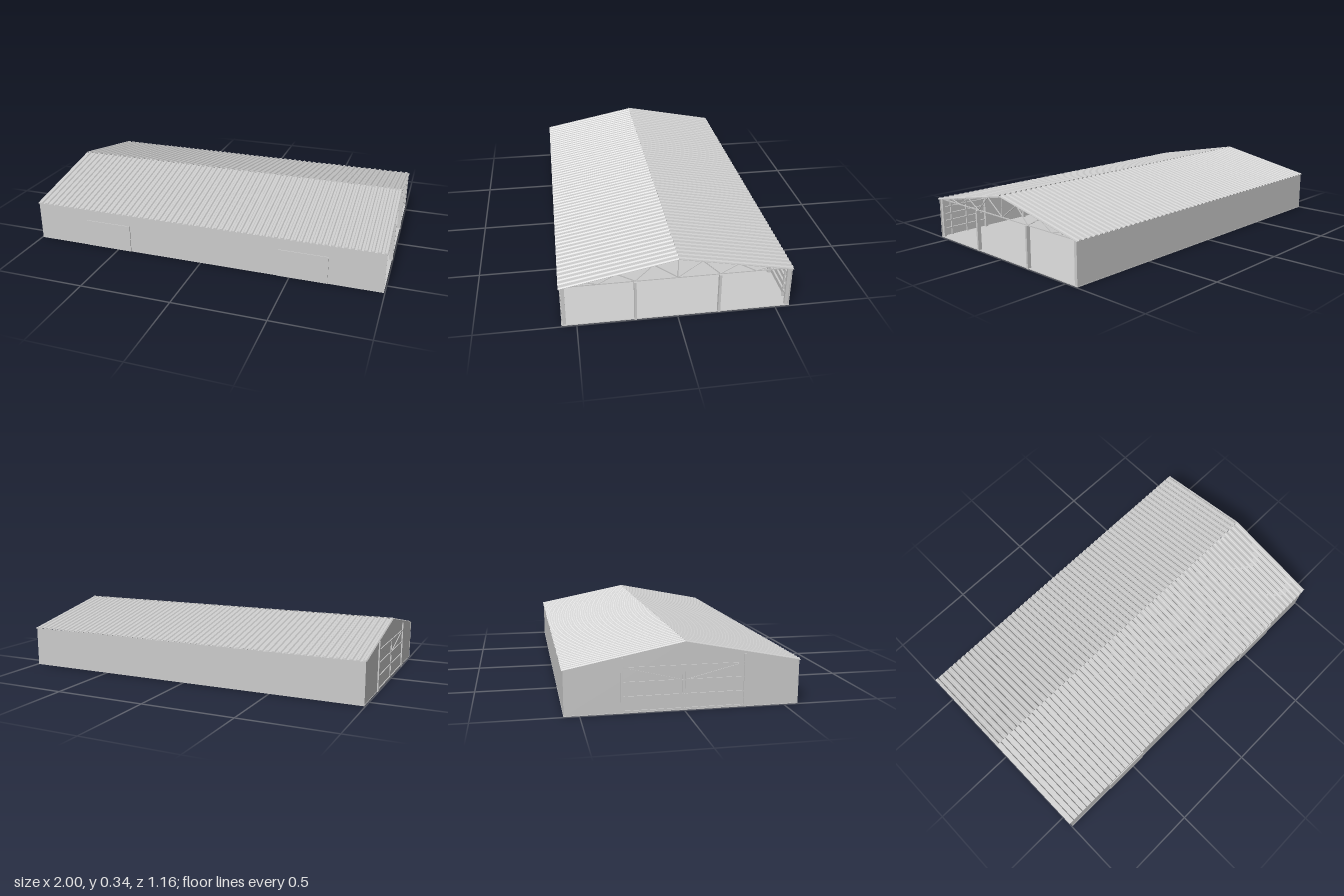
import * as THREE from 'three';

const EAVE = 0.222, RIDGE = 0.336, HALF = 0.58;
const roofY = z => RIDGE - (RIDGE - EAVE) * Math.abs(z) / HALF;

export function createModel() {
  const model = new THREE.Group();
  const mat = new THREE.MeshStandardMaterial({ color: 0xcccccc, flatShading: true, side: THREE.DoubleSide });

  const group = (name, parent = model) => {
    const g = new THREE.Group();
    g.name = name;
    parent.add(g);
    return g;
  };
  const add = (name, geo, parent = model) => {
    const m = new THREE.Mesh(geo, mat);
    m.name = name;
    parent.add(m);
    return m;
  };
  // Box given by its two extreme corners
  const box = (name, x0, x1, y0, y1, z0, z1, parent) => {
    const m = add(name, new THREE.BoxGeometry(x1 - x0, y1 - y0, z1 - z0), parent);
    m.position.set((x0 + x1) / 2, (y0 + y1) / 2, (z0 + z1) / 2);
    return m;
  };
  // Square bar between two points in a plane of constant x
  const bar = (name, x, z0, y0, z1, y1, t, parent) => {
    const m = add(name, new THREE.BoxGeometry(t, t, Math.hypot(z1 - z0, y1 - y0)), parent);
    m.position.set(x, (y0 + y1) / 2, (z0 + z1) / 2);
    m.rotation.x = -Math.atan2(y1 - y0, z1 - z0);
    return m;
  };

  box('floor', -0.995, 0.995, 0, 0.004, -0.575, 0.575);

  // Corrugated roof: ribbed section extruded down the slope, then sheared
  const ribs = 60, pitch = 2 / ribs, top = [];
  for (let i = 0; i < ribs; i++) {
    const x = -1 + i * pitch;
    top.push([x, 0], [x + pitch * 0.35, 0], [x + pitch * 0.5, 0.006], [x + pitch * 0.85, 0.006]);
  }
  top.push([1, 0]);
  const section = new THREE.Shape();
  top.forEach(([x, y], i) => (i ? section.lineTo(x, y) : section.moveTo(x, y)));
  top.reverse().forEach(([x, y]) => section.lineTo(x, y - 0.002));
  const roofGeo = new THREE.ExtrudeGeometry(section, { depth: HALF, bevelEnabled: false });
  const p = roofGeo.attributes.position;
  for (let i = 0; i < p.count; i++) p.setY(i, p.getY(i) + roofY(p.getZ(i)));
  roofGeo.computeVertexNormals();
  const roof = group('roof');
  add('frontRoofSheet', roofGeo, roof);
  add('backRoofSheet', roofGeo, roof).rotation.y = Math.PI;

  // Long walls, with closed sliding doors on the front
  const walls = group('walls');
  box('frontWall', -0.995, 0.995, 0, EAVE, 0.571, 0.574, walls);
  box('backWall', -0.995, 0.995, 0, EAVE, -0.574, -0.571, walls);
  for (const [x0, x1] of [[-0.69, -0.42], [0.436, 0.705]])
    box('frontDoor', x0, x1, 0.001, 0.156, 0.574, 0.579, walls);

  // Closed gable end
  const gable = new THREE.Shape();
  gable.moveTo(-0.574, 0);
  gable.lineTo(0.574, 0);
  gable.lineTo(0.574, EAVE);
  gable.lineTo(0, RIDGE - 0.002);
  gable.lineTo(-0.574, EAVE);
  const end = add('gableWall', new THREE.ExtrudeGeometry(gable, { depth: 0.003, bevelEnabled: false }), walls);
  end.rotation.y = -Math.PI / 2;
  end.position.x = -0.99;

  // Large framed double door in the gable
  const gate = group('gableDoor');
  for (const s of [-1, 1]) {
    box('doorPost', -1, -0.992, 0, 0.265, s * 0.3 - 0.006, s * 0.3 + 0.006, gate);
    box('doorStile', -0.997, -0.992, 0.004, 0.22, s * 0.006 - 0.003, s * 0.006 + 0.003, gate);
    bar('doorBrace', -0.995, s * 0.01, 0.15, s * 0.294, 0.22, 0.004, gate);
    box('doorHandle', -0.987, -0.98, 0.105, 0.115, s * 0.008 - 0.002, s * 0.008 + 0.002, gate);
  }
  for (const y of [0.01, 0.08, 0.15, 0.22])
    box('doorRail', -0.998, -0.992, y - 0.003, y + 0.003, -0.3, 0.3, gate);
  box('wallRail', -0.987, -0.975, 0.177, 0.181, 0.41, 0.56);

  // Portal frames: side columns carrying a webbed truss
  for (let i = 0; i < 8; i++) {
    const x = -0.983 + i * 1.966 / 7;
    const frame = group('portalFrame');
    bar('bottomChord', x, -0.57, EAVE, 0.57, EAVE, 0.005, frame);
    bar('kingPost', x, 0, EAVE, 0, RIDGE - 0.004, 0.004, frame);
    for (const s of [-1, 1]) {
      box('sideColumn', x - 0.007, x + 0.007, 0, EAVE, s * 0.56 - 0.009, s * 0.56 + 0.009, frame);
      bar('topChord', x, 0, RIDGE - 0.007, s * 0.57, roofY(0.57) - 0.006, 0.006, frame);
      const nodes = [0, 0.12, 0.21, 0.3, 0.39, 0.46, 0.53];
      const nodeY = k => (k % 2 ? roofY(nodes[k]) - 0.006 : EAVE);
      for (let k = 0; k < nodes.length - 1; k++)
        bar('web', x, s * nodes[k], nodeY(k), s * nodes[k + 1], nodeY(k + 1), 0.004, frame);
      bar('webPost', x, s * 0.46, EAVE, s * 0.46, roofY(0.46) - 0.006, 0.003, frame);
    }
  }

  // Posts in the open end
  for (const s of [-1, 1])
    box('endPost', 0.978, 0.999, 0, EAVE, s * 0.21 - 0.006, s * 0.21 + 0.006);

  // Purlins under the roof
  const purlins = group('purlins');
  for (const s of [-1, 1])
    for (let k = 0; k < 8; k++) {
      const z = s * (0.02 + k * 0.076), y = roofY(z) - 0.003;
      box('purlin', -0.985, 0.99, y - 0.005, y, z - 0.003, z + 0.003, purlins);
    }

  // Wall rails and light studs on the inside of the long walls
  const rails = group('wallRails');
  const rail = (x0, x1, y, s) =>
    box('rail', x0, x1, y - 0.004, y + 0.004, s * 0.566 - 0.005, s * 0.566 + 0.005, rails);
  for (const y of [0.045, 0.09, 0.13, 0.17, 0.21]) {
    rail(-0.41, 0.99, y, -1);
    if (y > 0.16) rail(-0.985, 0.99, y, 1);
    else for (const [x0, x1] of [[-0.985, -0.69], [-0.42, 0.436], [0.705, 0.99]]) rail(x0, x1, y, 1);
  }
  const stud = (x, s) =>
    box('stud', x - 0.004, x + 0.004, 0, EAVE, s * 0.566 - 0.005, s * 0.566 + 0.005, rails);
  [-0.2, 0.08, 0.83, 0.93].forEach(x => stud(x, 1));
  [-0.35, 0.08, 0.29, 0.92].forEach(x => stud(x, -1));

  return model;
}
